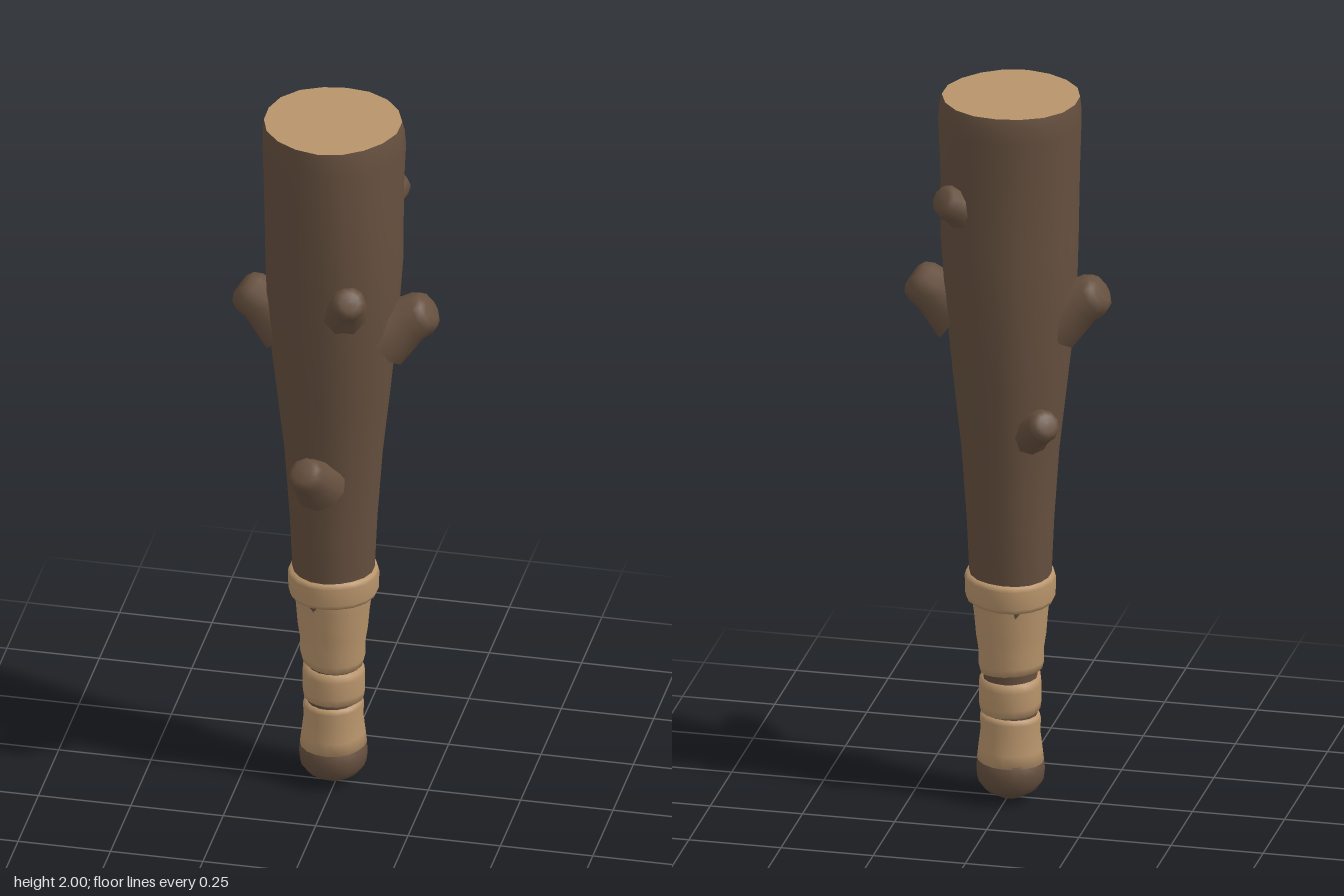
import * as THREE from 'three';

const SIDES = 18;

// Lofts slightly irregular rings [y, radius, centreX, centreZ]; tilt slants the rings
function loft(rings, wobble = 0, tilt = 0, phase = 0) {
  const pos = [], idx = [];
  rings.forEach(([y, r, cx = -0.009, cz = -0.01], j) => {
    for (let i = 0; i < SIDES; i++) {
      const a = (i / SIDES) * Math.PI * 2;
      const k = 1 + wobble * (Math.sin(3 * a + y * 4 + phase) + 0.7 * Math.sin(5 * a - y * 6 + phase));
      pos.push(cx + Math.sin(a) * r * k, y + tilt * Math.sin(a + phase), cz + Math.cos(a) * r * k);
      if (j < rings.length - 1) {
        const n = (i + 1) % SIDES, p = j * SIDES;
        idx.push(p + i, p + n, p + SIDES + i, p + n, p + SIDES + n, p + SIDES + i);
      }
    }
  });
  const g = new THREE.BufferGeometry();
  g.setAttribute('position', new THREE.Float32BufferAttribute(pos, 3));
  g.setIndex(idx);
  g.computeVertexNormals();
  return g;
}

export function createModel() {
  const group = new THREE.Group();
  const bark = new THREE.MeshStandardMaterial({ color: 0x66503f });
  bark.name = 'bark';
  const pale = new THREE.MeshStandardMaterial({ color: 0xb8946b });
  pale.name = 'paleWood';
  const add = (name, geometry, material) => {
    const m = new THREE.Mesh(geometry, material);
    m.name = name;
    group.add(m);
    return m;
  };

  // Tapering trunk, also the core under the grip
  const top = [2, 0.183, -0.012, -0.012];
  add('trunk', loft([
    [0.1, 0.07], [0.36, 0.072], [0.5, 0.09], [0.62, 0.108], [0.8, 0.116], [1.0, 0.13],
    [1.2, 0.152], [1.4, 0.173], [1.6, 0.183, -0.003], [1.8, 0.185, -0.006],
    [1.93, 0.19, -0.008, -0.014], [1.975, 0.188, -0.01, -0.014], top,
  ], 0.012), bark);

  // Pale cut face on the end
  add('cutEnd', loft([top, [2, 0.0001, -0.012, -0.012]], 0.012), pale);

  // Rounded pommel
  add('pommel', loft([
    [0.003, 0.0001], [0.012, 0.032], [0.035, 0.07], [0.06, 0.088], [0.09, 0.091], [0.12, 0.088], [0.135, 0.07],
  ], 0.008), bark);

  // Grip wrapping: stacked bands with narrow gaps between them
  const bands = [
    [[[0.115, 0.07], [0.116, 0.089], [0.15, 0.085], [0.2, 0.079], [0.235, 0.081], [0.247, 0.078], [0.25, 0.066]], 0.003, 0],
    [[[0.256, 0.066], [0.258, 0.08], [0.28, 0.083], [0.33, 0.083], [0.35, 0.081], [0.354, 0.066]], 0.004, 2],
    [[[0.367, 0.066], [0.369, 0.082], [0.39, 0.087], [0.43, 0.087], [0.47, 0.093], [0.53, 0.098], [0.56, 0.102], [0.59, 0.104]], 0.007, 4],
    [[[0.571, 0.095], [0.573, 0.115], [0.585, 0.12], [0.635, 0.121], [0.647, 0.117], [0.65, 0.1]], 0.005, 1],
  ];
  bands.forEach(([rings, tilt, phase], i) => add('gripBand' + (i + 1), loft(rings, 0.012, tilt, phase), pale));

  // Branch stubs: tip position, tip radius, base radius, rise from root to tip
  const stubs = [
    [0.258, 1.465, -0.01, 0.058, 0.098, 0.085],
    [-0.262, 1.47, -0.015, 0.058, 0.098, 0.085],
    [-0.045, 1.045, 0.208, 0.046, 0.075, 0.085],
    [0.08, 1.57, 0.192, 0.045, 0.085, 0.07],
    [0.138, 1.755, -0.185, 0.046, 0.085, 0.06],
    [-0.145, 1.135, -0.165, 0.043, 0.065, 0.06],
  ];
  for (const [x, y, z, rt, rb, rise] of stubs) {
    const tip = new THREE.Vector3(x, y, z);
    const root = new THREE.Vector3(x * 0.5, y - rise, z * 0.5);
    const dir = tip.clone().sub(root);
    const len = dir.length();
    const profile = [[rb, 0], [rb * 0.82, 0.3], [rt * 1.08, 0.6], [rt * 1.04, 0.8], [rt * 0.85, 0.94], [rt * 0.55, 1], [0, 1.01]]
      .map(([r, t]) => new THREE.Vector2(r, t * len));
    const stub = add('branchStub', new THREE.LatheGeometry(profile, 10), bark);
    stub.position.copy(root);
    stub.quaternion.setFromUnitVectors(new THREE.Vector3(0, 1, 0), dir.normalize());
  }
  return group;
}
